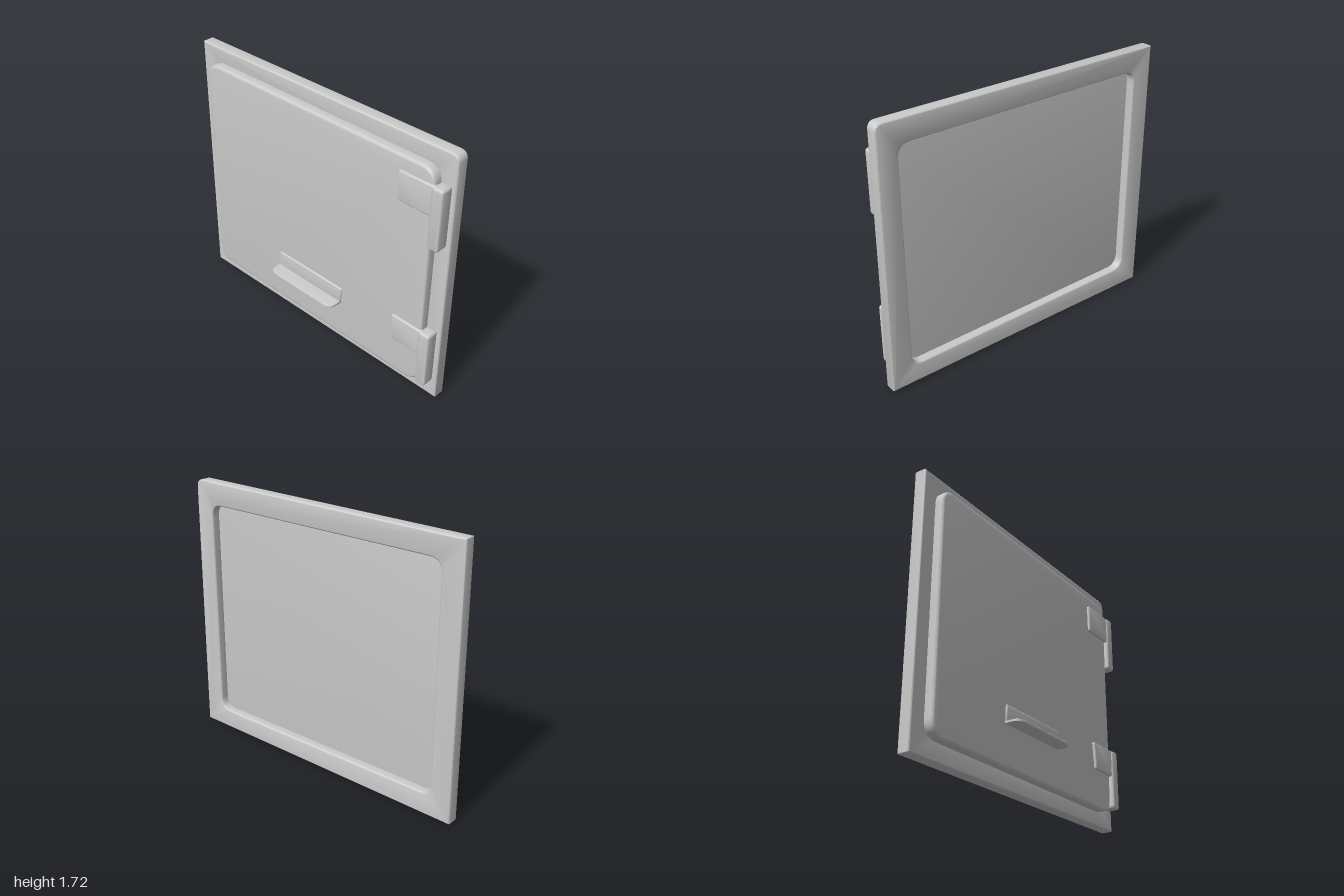
import * as THREE from 'three';
import { toCreasedNormals } from 'three/addons/utils/BufferGeometryUtils.js';

const material = new THREE.MeshStandardMaterial({ color: 0xcccccc });

// Closed outline from [x, y, cornerRadius] points listed counter-clockwise
function outline(points, target = new THREE.Shape()) {
  const n = points.length;
  points.forEach(([x, y, r], i) => {
    const corner = new THREE.Vector2(x, y);
    const toward = ([px, py]) =>
      new THREE.Vector2(px, py).sub(corner).setLength(r).add(corner);
    const a = toward(points[(i + n - 1) % n]);
    const b = toward(points[(i + 1) % n]);
    if (i === 0) target.moveTo(a.x, a.y);
    else target.lineTo(a.x, a.y);
    if (r > 0) target.quadraticCurveTo(x, y, b.x, b.y);
  });
  target.closePath();
  return target;
}

const rect = (x0, y0, x1, y1, r) => [[x0, y0, r], [x1, y0, r], [x1, y1, r], [x0, y1, r]];

// Slab between two depths with softened edges that stay inside the outline
function slab(name, shape, z0, z1, bevel) {
  const geometry = new THREE.ExtrudeGeometry(shape, {
    depth: z1 - z0 - 2 * bevel,
    bevelEnabled: bevel > 0,
    bevelThickness: bevel,
    bevelSize: bevel,
    bevelOffset: -bevel,
    bevelSegments: 3,
    curveSegments: 10,
  });
  geometry.translate(0, 0, z0 + bevel);
  const mesh = new THREE.Mesh(toCreasedNormals(geometry, 0.6), material);
  mesh.name = name;
  return mesh;
}

// L-shaped hinge: a leaf lying on the door and a knuckle bar on the frame
function hinge(name, leafLeft, leafSlant, bottom, leafBottom, top) {
  const group = new THREE.Group();
  group.name = name;
  group.add(
    slab('hingeLeaf', outline([
      [leafLeft + leafSlant, leafBottom, 0.012], [0.93, leafBottom, 0.005],
      [0.93, top, 0.005], [leafLeft, top, 0.012],
    ]), 0, 0.035, 0.009),
    slab('hingeBar', outline(rect(0.893, bottom, 0.968, top, 0.02)), -0.045, 0.042, 0.014),
  );
  return group;
}

export function createModel() {
  const model = new THREE.Group();
  model.name = 'hatchDoor';

  // Surrounding frame, slightly out of square, open in the middle
  const frame = outline([
    [-1, 0.003, 0.005], [1, 0.02, 0.005], [0.99, 1.728, 0.05], [-1, 1.717, 0.005],
  ]);
  frame.holes.push(outline(rect(-0.86, 0.145, 0.86, 1.58, 0.08), new THREE.Path()));
  model.add(slab('frame', frame, -0.12, -0.04, 0.01));

  // Door panel, its back forming the floor of the rear recess
  model.add(slab('doorPanel', outline([
    [-0.9, 0.11, 0.1], [0.895, 0.11, 0.1], [0.895, 1.625, 0.1], [-0.9, 1.625, 0.1],
  ]), -0.065, 0.018, 0.016));

  // Hinges
  model.add(hinge('upperHinge', 0.665, 0.005, 1.145, 1.35, 1.54));
  model.add(hinge('lowerHinge', 0.68, 0.02, 0.145, 0.36, 0.54));

  // Handle: backing plate on the door and a thin lip with rounded outer corners
  const handle = new THREE.Group();
  handle.name = 'handle';
  handle.add(slab('handlePlate', outline([
    [-0.28, 0.37, 0.005], [0.265, 0.37, 0.005], [0.275, 0.485, 0.01], [-0.275, 0.485, 0.01],
  ]), 0, 0.028, 0.008));
  const lip = slab('handleLip', outline([
    [-0.28, 0.01, 0.002], [0.265, 0.01, 0.002], [0.265, 0.118, 0.06], [-0.28, 0.118, 0.06],
  ]), -0.008, 0.008, 0.004);
  lip.rotation.x = Math.PI / 2;
  lip.position.y = 0.374;
  handle.add(lip);
  model.add(handle);

  return model;
}
